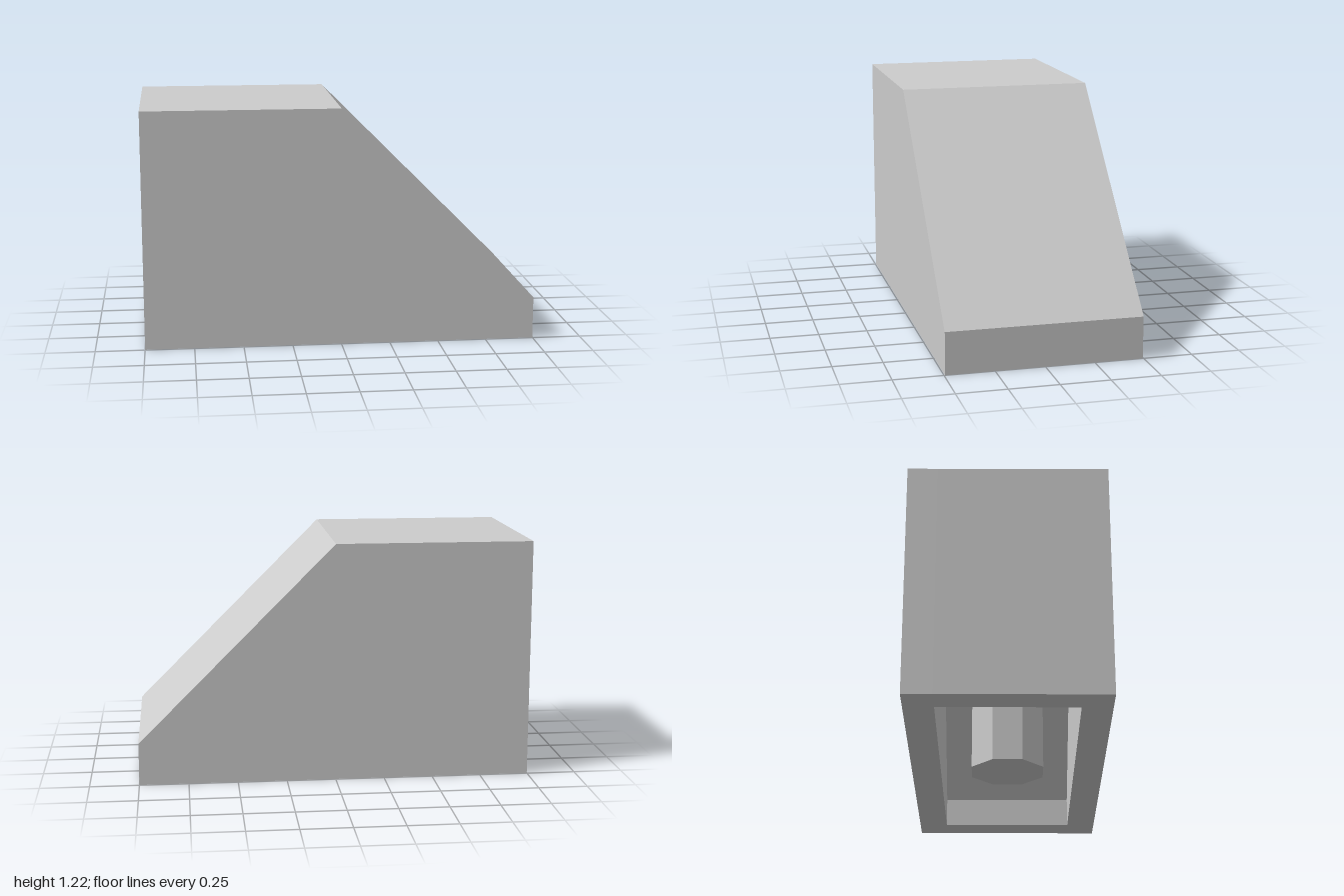
import * as THREE from 'three';

const HALF_DEPTH = 0.495, WALL = 0.15;
const INNER = HALF_DEPTH - WALL;
const CEILING = 1.065;          // underside of the flat roof
const slopeCeiling = (x) => 1.0 - x; // underside of the sloping roof

// Extrude a side profile along z, starting at z
function slab(name, points, z, depth, material) {
  const shape = new THREE.Shape(points.map(([x, y]) => new THREE.Vector2(x, y)));
  const geometry = new THREE.ExtrudeGeometry(shape, { depth, bevelEnabled: false });
  geometry.translate(0, 0, z);
  const mesh = new THREE.Mesh(geometry, material);
  mesh.name = name;
  return mesh;
}

export function createModel() {
  const group = new THREE.Group();
  group.name = 'slopedBrick';
  const grey = new THREE.MeshStandardMaterial({ color: 0xcccccc });
  grey.name = 'lightGrey';

  const outer = [[-1, 0], [1, 0], [1, 0.215], [0, 1.215], [-1, 1.215]];

  // Front and back walls with the full side profile
  group.add(slab('frontWall', outer, INNER, WALL, grey));
  group.add(slab('backWall', outer, -HALF_DEPTH, WALL, grey));

  // End walls, flat roof and sloping roof as one band, open underneath
  const band = [
    [1, 0], [1, 0.215], [0, 1.215], [-1, 1.215], [-1, 0], [-0.85, 0],
    [-0.85, CEILING], [1 - CEILING, CEILING], [0.85, slopeCeiling(0.85)], [0.85, 0],
  ];
  group.add(slab('endsAndRoof', band, -INNER, INNER * 2, grey));

  // Eight-sided post inside, its top cut to meet the roof
  const postGeometry = new THREE.CylinderGeometry(0.2, 0.2, 1, 8).toNonIndexed();
  postGeometry.rotateY(Math.PI / 8);
  postGeometry.translate(0, 0.5, 0);
  const pos = postGeometry.attributes.position;
  for (let i = 0; i < pos.count; i++) {
    if (pos.getY(i) > 0.5) {
      pos.setY(i, Math.min(CEILING, slopeCeiling(pos.getX(i))) + 0.02);
    }
  }
  postGeometry.computeVertexNormals();
  const post = new THREE.Mesh(postGeometry, grey);
  post.name = 'innerPost';
  group.add(post);

  return group;
}
